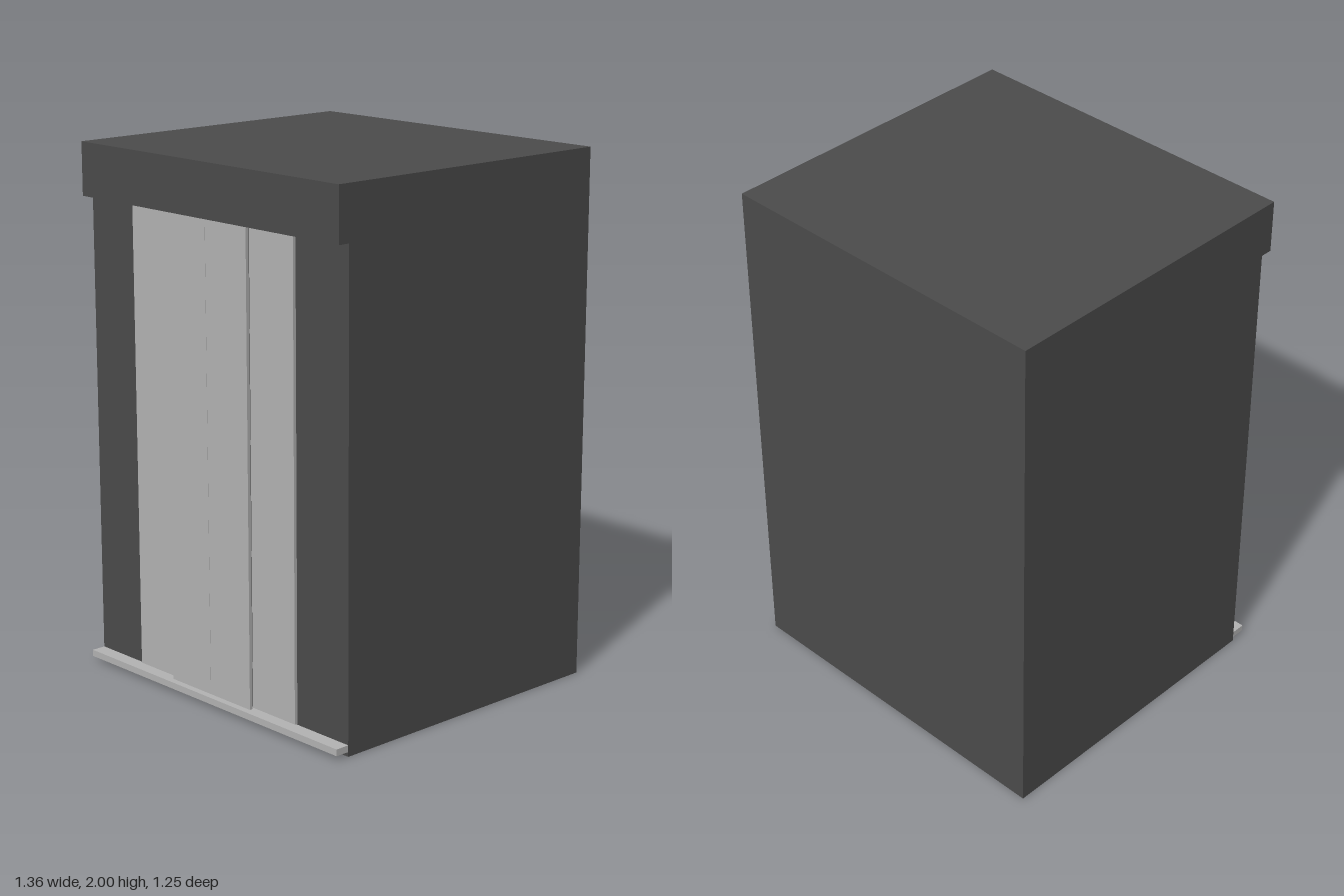
import * as THREE from 'three';

export function createModel() {
  const model = new THREE.Group();
  model.name = 'elevator';

  const darkGrey = new THREE.MeshStandardMaterial({ color: 0x4b4b4b });
  darkGrey.name = 'dark grey';
  const lightGrey = new THREE.MeshStandardMaterial({ color: 0xb3b3b3 });
  lightGrey.name = 'light grey';

  const width = 1.36, back = -0.625, front = 0.57;

  // Box from its minimum and maximum corners
  const addBox = (name, material, [x0, y0, z0], [x1, y1, z1]) => {
    const mesh = new THREE.Mesh(new THREE.BoxGeometry(x1 - x0, y1 - y0, z1 - z0), material);
    mesh.position.set((x0 + x1) / 2, (y0 + y1) / 2, (z0 + z1) / 2);
    mesh.name = name;
    model.add(mesh);
  };

  // Cabin with overhanging header: side profile (-z, y) extruded across the width
  const profile = new THREE.Shape([
    [-front, 0], [-back, 0], [-back, 2], [-0.616, 2], [-0.616, 1.8], [-front, 1.8],
  ].map(([x, y]) => new THREE.Vector2(x, y)));
  const cabinGeometry = new THREE.ExtrudeGeometry(profile, { depth: width, bevelEnabled: false });
  cabinGeometry.translate(0, 0, -width / 2).rotateY(Math.PI / 2);
  const cabin = new THREE.Mesh(cabinGeometry, darkGrey);
  cabin.name = 'cabin';
  model.add(cabin);

  // Telescoping doors: the inner pair slides in front of the outer pair
  for (const [side, s] of [['left', 1], ['right', -1]]) {
    const addDoor = (name, a, b, z0, z1) => addBox(`${side}${name}Door`, lightGrey,
      [Math.min(s * a, s * b), 0.05, z0], [Math.max(s * a, s * b), 1.799, z1]);
    addDoor('Inner', 0.0005, 0.214, 0.598, 0.611);
    addDoor('Outer', 0.205, 0.427, 0.576, 0.588);
  }

  // Door sill along the full width
  addBox('sill', lightGrey, [-width / 2, 0.018, front], [width / 2, 0.043, 0.625]);

  return model;
}
